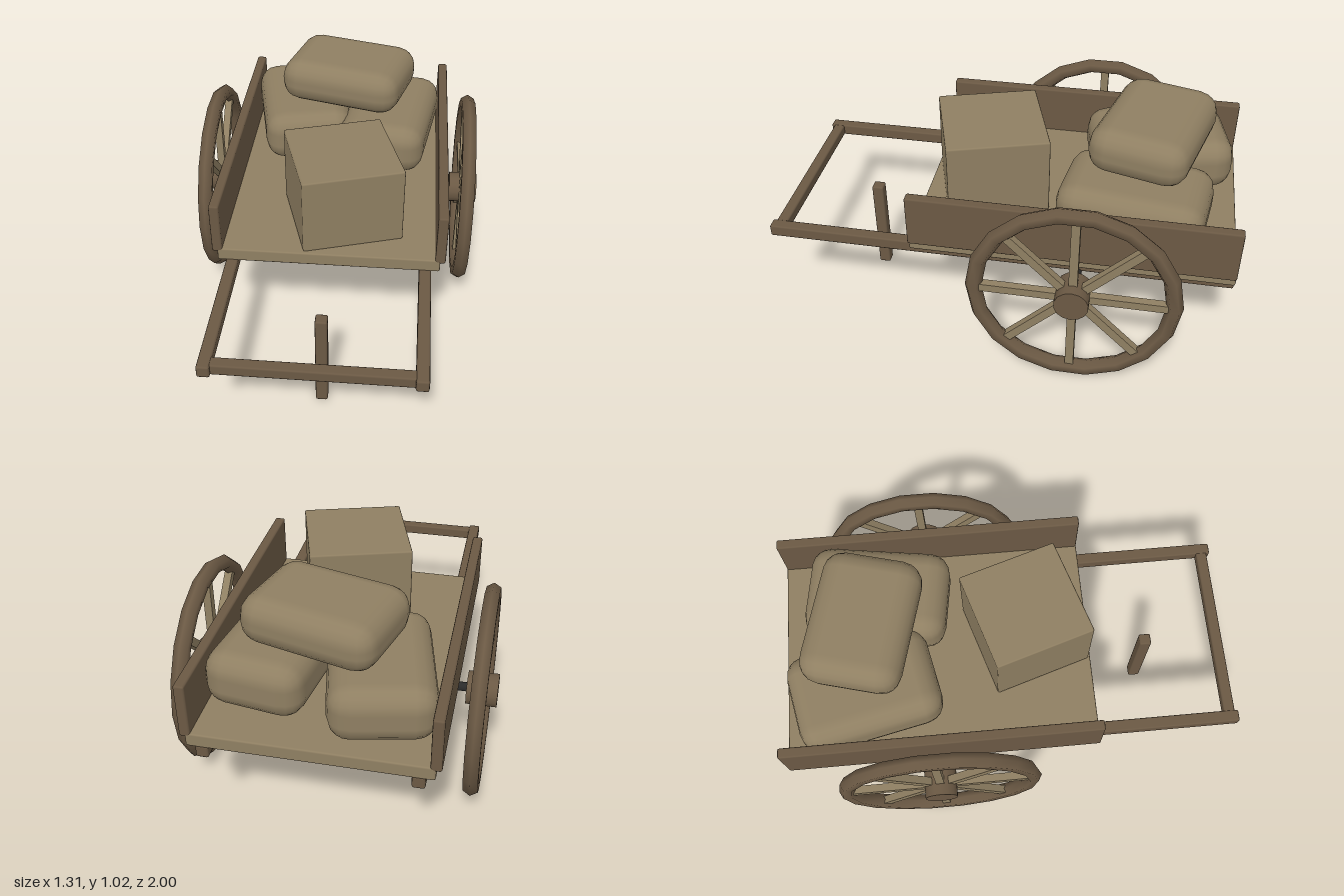
import * as THREE from 'three';
import { RoundedBoxGeometry } from 'three/addons/geometries/RoundedBoxGeometry.js';

const material = (name, color) => {
  const m = new THREE.MeshStandardMaterial({ color });
  m.name = name;
  return m;
};

export function createModel() {
  const lightWood = material('lightWood', 0x8f7f62);
  const darkWood = material('darkWood', 0x6b5944);
  const iron = material('iron', 0x2b2b2b);
  const cart = new THREE.Group();
  cart.name = 'handcart';

  const add = (parent, name, geometry, mat, x, y, z) => {
    const mesh = new THREE.Mesh(geometry, mat);
    mesh.name = name;
    mesh.position.set(x, y, z);
    parent.add(mesh);
    return mesh;
  };
  // Timber with slightly softened edges
  const beam = (name, [w, h, d], mat, x, y, z) =>
    add(cart, name, new RoundedBoxGeometry(w, h, d, 1, 0.008), mat, x, y, z);

  // Bed, handle and prop leg
  beam('bed', [0.956, 0.06, 1.36], lightWood, 0, 0.535, -0.32);
  beam('handleBar', [0.8, 0.05, 0.05], darkWood, 0, 0.483, 0.96);
  beam('propLeg', [0.052, 0.46, 0.054], darkWood, 0, 0.23, 0.64);

  // Axle
  const axle = add(cart, 'axle', new THREE.CylinderGeometry(0.02, 0.02, 1.18, 10), iron, 0, 0.453, -0.355);
  axle.rotation.z = Math.PI / 2;

  for (const side of [1, -1]) {
    const label = side > 0 ? 'left' : 'right';
    beam(label + 'SideBoard', [0.044, 0.236, 1.36], darkWood, side * 0.478, 0.668, -0.32);
    beam(label + 'Shaft', [0.052, 0.054, 2], darkWood, side * 0.416, 0.483, 0);

    // Wheel, built facing z and turned to face sideways
    const wheel = new THREE.Group();
    wheel.name = label + 'Wheel';
    wheel.position.set(side * 0.592, 0.453, -0.355);
    wheel.rotation.y = Math.PI / 2;
    add(wheel, 'rim', new THREE.TorusGeometry(0.414, 0.035, 6, 18), darkWood, 0, 0, 0);
    const hub = add(wheel, 'hub', new THREE.CylinderGeometry(0.072, 0.072, 0.13, 14), darkWood, 0, 0, 0);
    hub.rotation.x = Math.PI / 2;
    for (let i = 0; i < 4; i++) {
      const spoke = add(wheel, 'spokePair', new THREE.BoxGeometry(0.036, 0.8, 0.034), lightWood, 0, 0, 0);
      spoke.rotation.z = i * Math.PI / 4;
    }
    cart.add(wheel);
  }

  // Cargo
  const crate = beam('crate', [0.44, 0.35, 0.438], lightWood, 0.04, 0.74, 0.077);
  crate.rotation.y = 0.3;

  const sack = (name, [w, h, d], x, y, z, turn) => {
    const geometry = new RoundedBoxGeometry(w, h, d, 2, 0.09);
    add(cart, name, geometry, lightWood, x, y, z).rotation.y = turn;
  };
  sack('rightSack', [0.42, 0.24, 0.62], -0.208, 0.69, -0.64, 0.21);
  sack('leftSack', [0.41, 0.24, 0.62], 0.22, 0.69, -0.563, -0.15);
  sack('topSack', [0.576, 0.206, 0.426], 0.016, 0.917, -0.613, -0.265);

  return cart;
}
